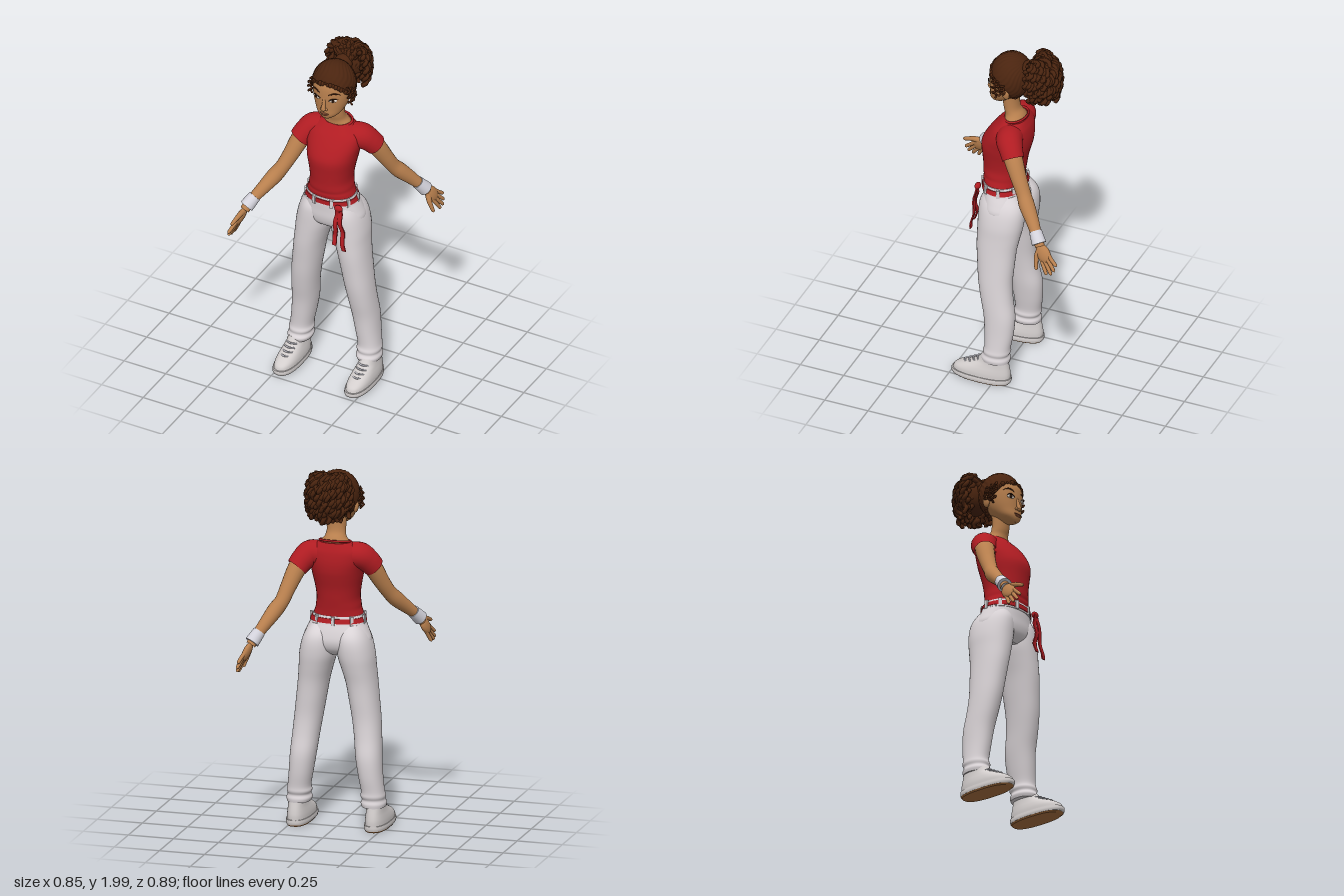
import * as THREE from 'three';

const mat = (name, color) => {
  const m = new THREE.MeshStandardMaterial({ color });
  m.name = name;
  return m;
};
const V = (x, y, z) => new THREE.Vector3(x, y, z);
const spline = pts => new THREE.CatmullRomCurve3(pts, false, 'catmullrom');

// Smooth upright body from rings [y, centreX, radiusX, frontZ, backZ], listed upward
function loft(rings, n = 2.2, seg = 36, sub = 4) {
  const a = spline(rings.map(r => V(r[0], r[1], r[2])));
  const b = spline(rings.map(r => V(r[3], r[4], 0)));
  const steps = (rings.length - 1) * sub, pos = [], idx = [];
  const pw = c => Math.sign(c) * Math.abs(c) ** (2 / n);
  const ring = t => {
    const p = a.getPoint(t), q = b.getPoint(t);
    for (let j = 0; j < seg; j++) {
      const w = j / seg * Math.PI * 2;
      pos.push(p.y + p.z * pw(Math.cos(w)), p.x, (q.x + q.y) / 2 + (q.x - q.y) / 2 * pw(Math.sin(w)));
    }
    return [p.y, p.x, (q.x + q.y) / 2];
  };
  for (let i = 0; i <= steps; i++) ring(i / steps);
  for (let i = 0; i < steps; i++) for (let j = 0; j < seg; j++) {
    const k = i * seg + j, l = i * seg + (j + 1) % seg;
    idx.push(k, k + seg, l, l, k + seg, l + seg);
  }
  for (const end of [0, 1]) {
    const s = pos.length / 3;
    pos.push(...ring(end));
    for (let j = 0; j < seg; j++) {
      const k = s + j, l = s + (j + 1) % seg;
      idx.push(s + seg, ...(end ? [l, k] : [k, l]));
    }
  }
  const g = new THREE.BufferGeometry();
  g.setAttribute('position', new THREE.Float32BufferAttribute(pos, 3));
  g.setIndex(idx);
  g.computeVertexNormals();
  return g;
}

// Tube of changing radius through points [x, y, z, radius]
function limb(points, seg = 24, sides = 16) {
  const c = spline(points.map(p => V(p[0], p[1], p[2])));
  const rad = spline(points.map(p => V(p[3], 0, 0)));
  c.getPointAt = t => c.getPoint(t);
  c.getTangentAt = t => c.getTangent(t);
  const g = new THREE.TubeGeometry(c, seg, 1, sides), p = g.attributes.position, v = V(0, 0, 0);
  for (let i = 0; i < p.count; i++) {
    const t = Math.floor(i / (sides + 1)) / seg, o = c.getPoint(t);
    v.fromBufferAttribute(p, i).sub(o).multiplyScalar(rad.getPoint(t).x).add(o);
    p.setXYZ(i, v.x, v.y, v.z);
  }
  return g;
}

// Curled lock of hair winding round a guide path
function curl(points, r, turns, phase, seg = 44) {
  const guide = spline(points), pts = [];
  for (let i = 0; i <= seg; i++) {
    const t = i / seg, w = phase + t * turns * Math.PI * 2, k = 0.009 * Math.min(1, t * 4);
    pts.push(guide.getPoint(t).add(V(Math.cos(w) * k, Math.sin(w * 2) * 0.003, Math.sin(w) * k)));
  }
  return limb(pts.map((p, i) => [p.x, p.y, p.z, i === 0 || i === seg ? 0.001 : r]), seg, 6);
}

export function createModel() {
  const root = new THREE.Group();
  root.name = 'standingWoman';
  const skin = mat('skin', 0xb9804e), red = mat('shirtRed', 0xb01c22), white = mat('trouserWhite', 0xdad4d7);
  const shoeMat = mat('shoeWhite', 0xd3cecd), soleMat = mat('soleTan', 0xa8703f), band = mat('wristbandGrey', 0xd4d3dc);
  const hair = mat('hairBrown', 0x4a240f), eyeWhite = mat('eyeWhite', 0xe8ded4), dark = mat('eyeDark', 0x2a1408);
  const lip = mat('lipBrown', 0x9a5a3c);
  red.side = THREE.DoubleSide;
  let seed = 7;
  const rnd = () => (seed = seed * 16807 % 2147483647) / 2147483647;
  const add = (name, geo, m, parent = root) => {
    const o = new THREE.Mesh(geo, m);
    o.name = name;
    parent.add(o);
    return o;
  };
  const ball = (name, m, p, s, parent) => {
    const o = add(name, new THREE.SphereGeometry(1, 20, 14), m, parent);
    o.position.set(...p);
    o.scale.set(...s);
    return o;
  };

  // Torso, collar and neck
  add('shirt', loft([[1.165, 0, .134, .14, -.066], [1.185, 0, .127, .144, -.068], [1.2, 0, .122, .143, -.07], [1.22, 0, .12, .147, -.073],
    [1.26, 0, .115, .148, -.08], [1.32, 0, .122, .153, -.09], [1.38, 0, .134, .158, -.106], [1.42, 0, .141, .15, -.115],
    [1.47, 0, .15, .122, -.118], [1.52, 0, .148, .085, -.112], [1.55, 0, .122, .055, -.102], [1.575, 0, .088, .03, -.092]]), red);
  const collar = add('collar', new THREE.TorusGeometry(1, .09, 8, 36), red);
  collar.rotation.x = Math.PI / 2 + .16;
  collar.scale.set(.082, .06, .07);
  collar.position.set(0, 1.578, -.03);
  add('neck', loft([[1.55, 0, .085, .03, -.085], [1.575, 0, .077, .028, -.082], [1.6, 0, .058, .03, -.07], [1.63, 0, .052, .038, -.05],
    [1.68, 0, .052, .045, -.045], [1.74, 0, .054, .05, -.05]], 2), skin);

  // Head and face
  const head = new THREE.Group();
  head.name = 'head';
  head.position.x = -.005;
  root.add(head);
  add('face', loft([[1.653, 0, .014, .1, .06], [1.662, 0, .036, .109, .035], [1.685, 0, .064, .116, .0], [1.72, 0, .085, .115, -.045],
    [1.76, 0, .099, .116, -.07], [1.81, 0, .108, .116, -.09], [1.86, 0, .106, .109, -.09], [1.905, 0, .085, .08, -.07], [1.93, 0, .03, .03, -.03]], 2.1), skin, head);
  add('noseBridge', limb([[0, 1.79, .108, .009], [0, 1.755, .117, .01], [0, 1.728, .124, .013], [0, 1.715, .117, .006]], 14, 12), skin, head);
  ball('noseTip', skin, [0, 1.727, .126], [.014, .011, .011], head);
  ball('upperLip', lip, [0, 1.694, .115], [.026, .005, .007], head);
  ball('lowerLip', lip, [0, 1.686, .115], [.02, .006, .007], head);
  for (const s of [1, -1]) {
    ball('nostril', skin, [s * .012, 1.723, .118], [.009, .008, .009], head);
    ball('ear', skin, [s * .108, 1.765, -.012], [.012, .032, .02], head).rotation.z = -s * .2;
    const eye = new THREE.Group();
    eye.name = 'eye';
    eye.position.set(s * .049, 1.785, .105);
    eye.rotation.set(0, s * .4, s * .12);
    head.add(eye);
    ball('eyeball', eyeWhite, [0, 0, 0], [.022, .011, .007], eye);
    ball('iris', dark, [0, 0, .004], [.01, .01, .005], eye);
    add('lashes', limb([[-.024, -.002, .002, .001], [-.01, .01, .006, .003], [.01, .011, .006, .003], [.028, .004, -.002, .001]], 14, 6), dark, eye);
    add('eyebrow', limb([[s * .024, 1.815, .114, .001], [s * .045, 1.826, .108, .004], [s * .065, 1.828, .098, .003], [s * .083, 1.818, .082, .001]], 14, 6), hair, head);
  }

  // Combed-back hair, with strands running to the tail
  const cap = new THREE.SphereGeometry(1, 112, 28, 0, Math.PI * 2, 0, Math.PI * .61);
  const cp = cap.attributes.position, v = V(0, 0, 0);
  for (let i = 0; i < cp.count; i++) {
    v.fromBufferAttribute(cp, i);
    v.multiplyScalar(1 + .014 * Math.sin(28 * Math.atan2(v.z, v.x) + 2 * Math.sin(v.y * 6)) * Math.hypot(v.x, v.z));
    cp.setXYZ(i, v.x, v.y, v.z);
  }
  cap.rotateX(-.7).scale(.12, .132, .114).translate(0, 1.825, 0);
  cap.computeVertexNormals();
  add('hairCap', cap, hair, head);
  for (let i = 0; i < 46; i++) {
    const w = i / 46 * Math.PI * 2, t = Math.PI * .605;
    v.set(Math.sin(t) * Math.sin(w), Math.cos(t), Math.sin(t) * Math.cos(w)).applyAxisAngle(V(1, 0, 0), -.7);
    const r = .007 + rnd() * .006;
    ball('hairlineCurl', hair, [v.x * .117, 1.825 + v.y * .128 + rnd() * .008, v.z * .111], [r, r * 1.2, r], head);
  }
  for (const s of [1, -1]) for (let i = 0; i < 3; i++) {
    const z = .055 - i * .026;
    add('templeCurl', curl([V(s * .106, 1.86, z), V(s * .119, 1.81, z), V(s * .12, 1.745 + i * .012, z - .01)], .006, 4, i * 2), hair, head);
  }

  // Curly tail: locks rise from the tie, fan out and hang
  const tail = new THREE.Group();
  tail.name = 'ponytail';
  root.add(tail);
  ball('tailCore', hair, [-.005, 1.865, -.175], [.095, .095, .07], tail);
  ball('tailBase', hair, [-.005, 1.89, -.1], [.05, .05, .04], tail);
  for (const [layer, count] of [[1, 25], [.8, 17], [.5, 11]]) for (let i = 0; i < count; i++) {
    const phi = -.12 + (i + rnd() * .5) / count * (Math.PI + .24);
    const x = Math.cos(phi) * layer, d = Math.sin(phi) * layer, up = rnd() * .02;
    add('tailLock', curl([V(x * .025 - .005, 1.9, -.105), V(x * .07 - .005, 1.952 + up + .008 * d, -.135 - d * .045),
      V(x * .112 - .005, 1.915 + up * .5, -.14 - d * .115), V(x * .118 - .005, 1.83, -.145 - d * .127),
      V(x * .1 - .005, 1.705 + rnd() * .06 + Math.abs(x) * .025, -.16 - d * .09)], .0125, 5 + rnd() * 3, rnd() * 6), hair, tail);
  }

  // Arms: the left one reaches back, the right one forward
  const arms = [
    { side: 'left', arm: [[.13, 1.5, -.04, .052], [.185, 1.435, -.09, .051], [.222, 1.34, -.14, .043], [.247, 1.265, -.18, .039], [.275, 1.22, -.21, .042], [.315, 1.155, -.26, .035], [.355, 1.09, -.305, .027], [.375, 1.05, -.33, .026]],
      sleeve: [[.07, 1.5, -.03, .068], [.13, 1.5, -.045, .071], [.165, 1.47, -.07, .064], [.192, 1.43, -.095, .058]], dir: V(.29, -.75, -.6), thumb: V(.1, -.6, .75) },
    { side: 'right', arm: [[-.13, 1.5, -.01, .052], [-.183, 1.435, .035, .051], [-.222, 1.34, .085, .043], [-.25, 1.275, .125, .039], [-.278, 1.23, .16, .042], [-.315, 1.175, .22, .035], [-.355, 1.115, .285, .027], [-.372, 1.075, .318, .026]],
      sleeve: [[-.07, 1.5, -.02, .068], [-.13, 1.5, -.01, .071], [-.165, 1.47, .015, .064], [-.192, 1.43, .042, .058]], dir: V(-.27, -.74, .62), thumb: V(.12, .6, .75) }];
  for (const { side, arm, sleeve, dir, thumb } of arms) {
    add(side + 'Arm', limb(arm, 36, 20), skin);
    add(side + 'Sleeve', limb(sleeve, 16, 24), red);
    const wrist = V(...arm[6].slice(0, 3)), axis = V(...arm[7].slice(0, 3)).sub(V(...arm[5].slice(0, 3))).normalize();
    const cuff = add(side + 'Wristband', new THREE.CylinderGeometry(.034, .039, .07, 28), band);
    cuff.position.copy(wrist);
    cuff.quaternion.setFromUnitVectors(V(0, -1, 0), axis);

    // Hand: local y runs to the fingertips, local x to the thumb
    const hand = new THREE.Group(), y = dir.clone().normalize();
    hand.name = side + 'Hand';
    const x = thumb.clone().addScaledVector(y, -thumb.dot(y)).normalize();
    hand.quaternion.setFromRotationMatrix(new THREE.Matrix4().makeBasis(x, y, x.clone().cross(y)));
    hand.position.set(...arm[7].slice(0, 3));
    root.add(hand);
    ball('palm', skin, [0, .042, 0], [.04, .056, .02], hand);
    for (let f = 0; f < 4; f++) {
      const b = -.027 + f * .018, len = [.135, .155, .163, .152][f];
      add('finger', limb([[b * .9, .05, 0, .011], [b * 1.15, .095, .003, .0105], [b * 1.4, len - .01, .002, .009], [b * 1.45, len, .002, .001]], 14, 10), skin, hand);
    }
    add('thumb', limb([[.015, .015, 0, .016], [.045, .04, .003, .014], [.066, .072, .004, .011], [.078, .096, .004, .009], [.082, .104, .004, .001]], 16, 10), skin, hand);
  }

  // Trousers
  add('hips', loft([[.955, 0, .08, .09, -.05], [.985, 0, .16, .125, -.085], [1.03, 0, .186, .138, -.1], [1.08, 0, .17, .139, -.092],
    [1.13, 0, .147, .14, -.075], [1.172, 0, .131, .137, -.062]]), white);
  for (const s of [1, -1]) {
    const side = s > 0 ? 'left' : 'right';
    const rows = [[.13, .144, .27, .074, -.078], [.15, .138, .273, .078, -.08], [.17, .145, .266, .066, -.074], [.19, .138, .27, .068, -.082], [.22, .142, .264, .06, -.082],
      [.3, .128, .256, .065, -.093], [.4, .112, .25, .075, -.096], [.5, .1, .243, .096, -.08], [.6, .085, .235, .114, -.072], [.7, .068, .225, .125, -.077],
      [.8, .05, .215, .135, -.085], [.88, .028, .208, .138, -.1], [.95, .008, .203, .139, -.112], [1.02, .004, .189, .139, -.114], [1.07, .01, .17, .133, -.1], [1.12, .03, .14, .11, -.06]];
    add(side + 'TrouserLeg', loft(rows.map(([y, i, o, f, b]) => [y, s * (i + o) / 2, (o - i) / 2, f, b]), 2.2), white);

    // Trainers: tan tread, thick sole, sloping upper, laces
    const cx = s * .216;
    add(side + 'Tread', loft([[0, cx, .058, .225, -.082], [.008, cx, .063, .238, -.088]], 2.5, 36, 1), soleMat);
    add(side + 'Sole', loft([[.008, cx, .064, .24, -.089], [.02, cx, .066, .246, -.092], [.036, cx, .064, .245, -.092]], 2.5), shoeMat);
    add(side + 'Shoe', loft([[.034, cx, .061, .238, -.087], [.058, cx, .06, .228, -.087], [.08, cx, .056, .192, -.084], [.1, cx, .051, .145, -.08],
      [.122, cx, .047, .1, -.075], [.155, cx, .044, .075, -.068]], 2.4), shoeMat);
    for (let i = 0; i < 4; i++) {
      const y = .088 + i * .013, z = .168 - i * .024;
      add('lace', limb([[cx - .03, y - .003, z - .014, .004], [cx, y + .004, z + .004, .005], [cx + .03, y - .003, z - .014, .004]], 10, 8), band);
    }
  }

  // Waistband, belt and loops
  add('waistband', loft([[1.122, 0, .151, .145, -.08], [1.168, 0, .136, .142, -.068]], 2.2, 40, 1), white);
  add('belt', loft([[1.131, 0, .152, .149, -.083], [1.156, 0, .144, .148, -.076]], 2.2, 40, 1), red);
  for (let i = 0; i < 9; i++) {
    const w = (i + .5) / 9 * Math.PI * 2 + .16;
    const loop = add('beltLoop', new THREE.BoxGeometry(.018, .048, .012), white);
    loop.position.set(.149 * Math.cos(w), 1.144, .035 + .115 * Math.sin(w));
    loop.rotation.y = Math.PI / 2 - w;
  }

  // Knot with two hanging ends
  ball('knot', red, [.1, 1.135, .15], [.024, .018, .016]);
  const ends = [[.095, .085, .91], [.108, .142, .887]];
  for (const [x0, x1, y1] of ends) {
    const len = 1.135 - y1, g = new THREE.BoxGeometry(.024, len, .007, 1, 14, 1), p = g.attributes.position;
    for (let i = 0; i < p.count; i++) {
      const t = .5 - p.getY(i) / len;
      p.setX(i, p.getX(i) + x0 + (x1 - x0) * t + .003 * Math.sin(t * 14));
      p.setZ(i, p.getZ(i) + .156 + .012 * t + .006 * Math.sin(t * 11 + x1 * 30));
    }
    g.translate(0, 1.135 - len / 2, 0);
    g.computeVertexNormals();
    add('beltEnd', g, red);
  }
  return root;
}
